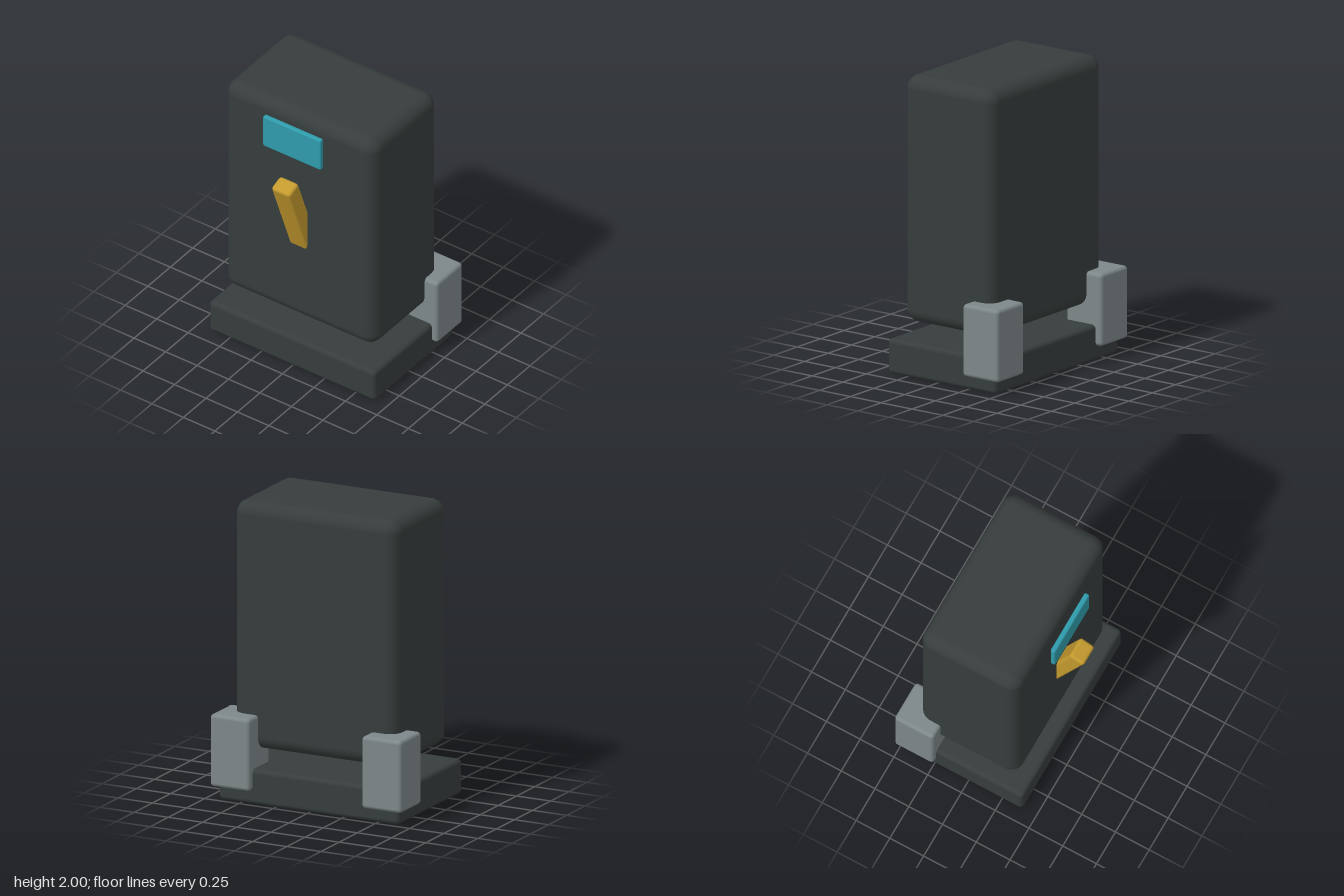
import * as THREE from 'three';
import { RoundedBoxGeometry } from 'three/addons/geometries/RoundedBoxGeometry.js';

function material(name, color) {
  const m = new THREE.MeshStandardMaterial({ color });
  m.name = name;
  return m;
}

export function createModel() {
  const charcoal = material('charcoal', 0x363d3c);
  const grey = material('grey', 0x7d8789);
  const teal = material('teal', 0x2f9bab);
  const gold = material('gold', 0xc49a2e);

  const model = new THREE.Group();
  model.name = 'leverBox';

  // Rounded box given by size, centre and edge radius
  function box(name, mat, size, centre, radius) {
    const mesh = new THREE.Mesh(new RoundedBoxGeometry(...size, 5, radius), mat);
    mesh.name = name;
    mesh.position.set(...centre);
    model.add(mesh);
    return mesh;
  }

  // Foot plate and the tall case floating above it
  box('base', charcoal, [1.32, 0.235, 0.88], [0, 0.1175, -0.04], 0.03);
  box('case', charcoal, [1.2, 1.655, 0.73], [0, 1.1725, -0.04], 0.09);

  // Rear corner brackets joining case and base
  for (const side of [-1, 1]) {
    box(side > 0 ? 'leftBracket' : 'rightBracket', grey,
      [0.29, 0.485, 0.288], [side * 0.555, 0.3375, -0.383], 0.025);
  }

  // Display panel in front of the case
  box('display', teal, [0.46, 0.24, 0.036], [0, 1.81, 0.383], 0.012);

  // Lever leaning out of the front
  const lever = box('lever', gold, [0.15, 0.66, 0.113], [0, 1.205, 0.364], 0.022);
  lever.rotation.x = THREE.MathUtils.degToRad(20);

  return model;
}
